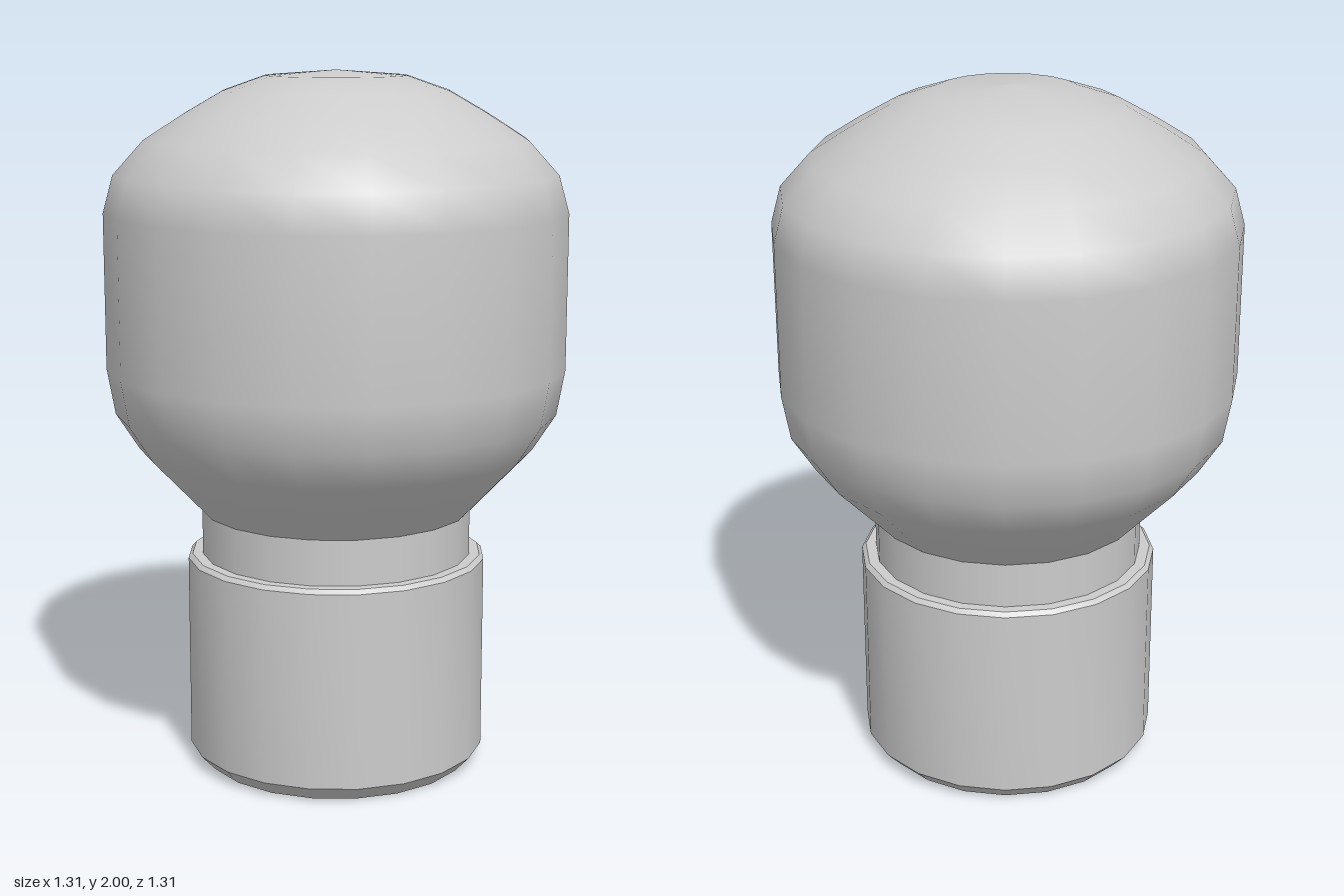
import * as THREE from 'three';
import { toCreasedNormals } from 'three/addons/utils/BufferGeometryUtils.js';

const SIDES = 20;

export function createModel() {
  const model = new THREE.Group();
  model.name = 'roundKnob';
  const material = new THREE.MeshStandardMaterial({ color: 0xcccccc });

  // Turned part from [radius, height] pairs, listed bottom to top
  const turn = (name, profile, creased) => {
    const points = profile.map(([r, y]) => new THREE.Vector2(r, y));
    let geometry = new THREE.LatheGeometry(points, SIDES);
    if (creased) geometry = toCreasedNormals(geometry, Math.PI / 6);
    const mesh = new THREE.Mesh(geometry, material);
    mesh.name = name;
    model.add(mesh);
  };

  // Cylindrical base with a wide lower bevel and a narrow upper one
  turn('base', [
    [0, 0], [0.39, 0], [0.432, 0.045], [0.432, 0.608], [0.42, 0.62], [0.385, 0.62],
  ], true);

  // Narrow neck
  turn('neck', [[0.39, 0.62], [0.39, 0.75]], false);

  // Smooth bulbous head
  turn('head', [
    [0.39, 0.75], [0.565, 0.935], [0.632, 1.04], [0.655, 1.17],
    [0.655, 1.61], [0.626, 1.715], [0.54, 1.81], [0.43, 1.88],
    [0.32, 1.943], [0.2, 1.985], [0, 2],
  ], false);

  return model;
}
